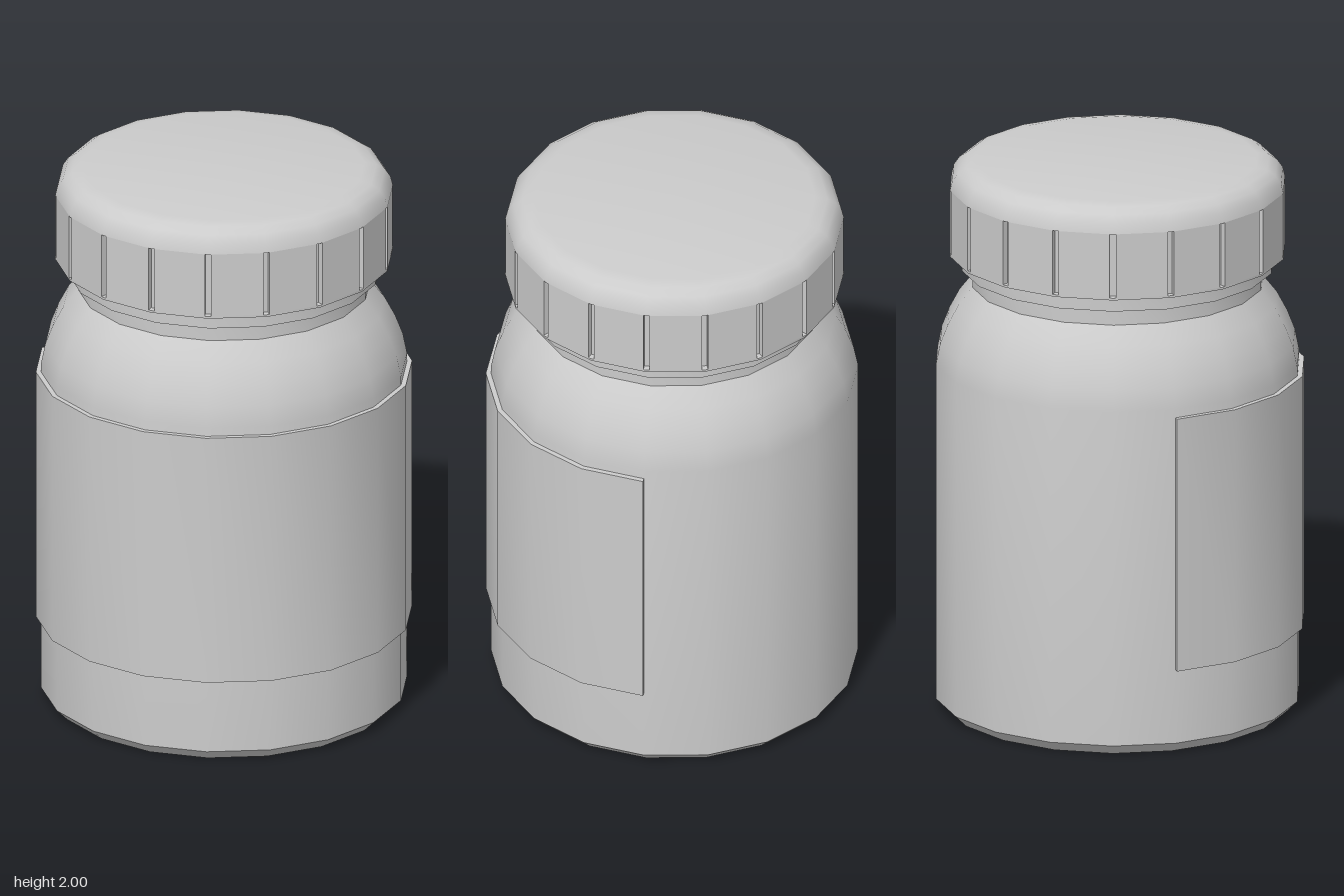
import * as THREE from 'three';
import { toCreasedNormals } from 'three/addons/utils/BufferGeometryUtils.js';

const SIDES = 18;
const STEP = (Math.PI * 2) / SIDES;
const material = new THREE.MeshStandardMaterial({ color: 0xcccccc });

function part(name, geometry, crease = 0.6) {
  const mesh = new THREE.Mesh(toCreasedNormals(geometry, crease), material);
  mesh.name = name;
  return mesh;
}

// Eighteen-sided turned form with corners on the x axis
function turned(name, profile) {
  const points = profile.map(([r, y]) => new THREE.Vector2(r, y));
  return part(name, new THREE.LatheGeometry(points, SIDES, STEP / 2, Math.PI * 2));
}

// Plan outline raised from y0 to y1
function raised(name, points, y0, y1) {
  const geometry = new THREE.ExtrudeGeometry(new THREE.Shape(points), {
    depth: y1 - y0, bevelEnabled: false,
  });
  geometry.rotateX(-Math.PI / 2);
  geometry.translate(0, y0, 0);
  return part(name, geometry);
}

// Cap wall with a narrow slot cut into every corner
function slottedWall(radius, halfWidth, depth) {
  const points = [];
  const edge = radius - halfWidth * Math.tan(STEP / 2);
  for (let i = 0; i < SIDES; i++) {
    const c = Math.cos(i * STEP), s = Math.sin(i * STEP);
    for (const [r, t] of [[edge, -halfWidth], [radius - depth, -halfWidth],
      [radius - depth, halfWidth], [edge, halfWidth]]) {
      points.push(new THREE.Vector2(r * c - t * s, r * s + t * c));
    }
  }
  return raised('capGrip', points, 1.675, 1.91);
}

// Thin sleeve wrapping eleven facets around the front
function wrapLabel(inner, outer) {
  const points = [];
  const at = (r, i) => points.push(new THREE.Vector2(r * Math.cos(i * STEP), -r * Math.sin(i * STEP)));
  for (let i = -1; i <= 10; i++) at(outer, i);
  for (let i = 10; i >= -1; i--) at(inner, i);
  return raised('label', points, 0.31, 1.24);
}

export function createModel() {
  const jar = new THREE.Group();
  jar.name = 'jar';

  // Bottle: chamfered base, straight wall, rounded shoulder
  jar.add(turned('body', [
    [0, 0], [0.605, 0], [0.645, 0.04], [0.645, 1.27], [0.63, 1.345],
    [0.603, 1.415], [0.566, 1.485], [0.515, 1.55], [0, 1.55],
  ]));

  // Neck and the collar under the cap
  jar.add(turned('neck', [[0.515, 1.54], [0.515, 1.62]]));
  jar.add(turned('collar', [[0, 1.612], [0.552, 1.612], [0.552, 1.68]]));

  jar.add(wrapLabel(0.64, 0.663));

  // Screw cap
  const cap = new THREE.Group();
  cap.name = 'cap';
  cap.add(turned('capRim', [[0, 1.667], [0.595, 1.667], [0.595, 1.675], [0, 1.675]]));
  cap.add(slottedWall(0.595, 0.011, 0.025));
  cap.add(turned('capTop', [
    [0, 1.91], [0.595, 1.91], [0.587, 1.943], [0.567, 1.972],
    [0.537, 1.992], [0.495, 2], [0, 2],
  ]));
  jar.add(cap);

  // The label makes the front deeper, so the axis sits slightly back
  jar.position.z = -0.01;
  const model = new THREE.Group();
  model.add(jar);
  return model;
}
